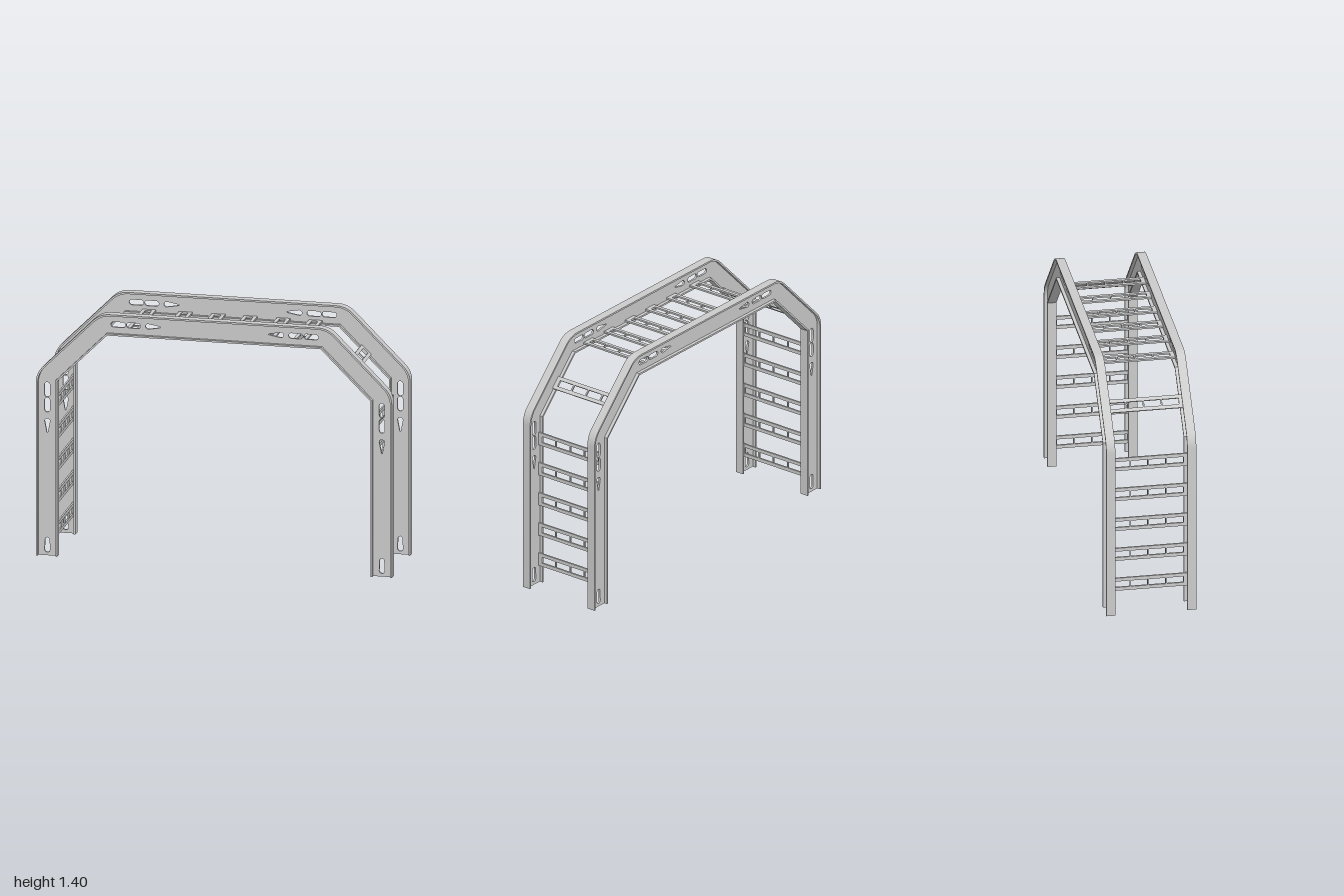
import * as THREE from 'three';
import { toCreasedNormals } from 'three/addons/utils/BufferGeometryUtils.js';

const material = new THREE.MeshStandardMaterial({ color: 0xcccccc });

// Arch outline: leg at x = X, 45 degree shoulder x + y = S, top at y = T
function archLine(X, S, T, round) {
  const a = new THREE.Vector2(X, S - X), b = new THREE.Vector2(S - T, T);
  const half = [new THREE.Vector2(X, 0)];
  if (round) {
    const d = new THREE.Vector2(-1, 1).normalize().multiplyScalar(round);
    const bends = [
      [new THREE.Vector2(a.x, a.y - round), a, a.clone().add(d)],
      [b.clone().sub(d), b, new THREE.Vector2(b.x - round, b.y)],
    ];
    for (const bend of bends) half.push(...new THREE.QuadraticBezierCurve(...bend).getPoints(8));
  } else half.push(a, b);
  const mirrored = half.map((p) => new THREE.Vector2(-p.x, p.y)).reverse();
  return [...half, ...mirrored];
}

const outerLine = (inset) => archLine(1 - inset, 2.04 - inset * Math.SQRT2, 1.4 - inset, 0.055);
const innerLine = (grow) => archLine(0.88 + grow, 1.88 + grow * Math.SQRT2, 1.28 + grow, 0);
const band = (outer, inner) => new THREE.Shape([...outer, ...inner.reverse()]);

function extrude(shape, depth) {
  const g = new THREE.ExtrudeGeometry(shape, { depth, bevelEnabled: false, curveSegments: 8 });
  g.translate(0, 0, -depth / 2);
  return toCreasedNormals(g, Math.PI / 6);
}

function mesh(name, geometry) {
  const m = new THREE.Mesh(geometry, material);
  m.name = name;
  return m;
}

// Hole of given length along u; the far end radius r2 makes it a slot or a teardrop
function hole(cx, cy, angle, length, r1, r2) {
  const pts = [], c = Math.cos(angle), s = Math.sin(angle);
  const add = (u, v) => pts.push(new THREE.Vector2(cx + u * c - v * s, cy + u * s + v * c));
  for (let i = 0; i <= 10; i++) {
    const t = Math.PI / 2 + (i / 10) * Math.PI;
    add(-length / 2 + r1 + r1 * Math.cos(t), r1 * Math.sin(t));
  }
  for (let i = 0; i <= 10; i++) {
    const t = -Math.PI / 2 + (i / 10) * Math.PI;
    add(length / 2 - r2 + r2 * Math.cos(t), r2 * Math.sin(t));
  }
  return new THREE.Path(pts);
}

// Web plate pierced by slots and teardrops on both sides
function webGeometry() {
  const web = band(outerLine(0.01), innerLine(0.01));
  for (const s of [-1, 1]) {
    const inward = s > 0 ? Math.PI : 0, down = -Math.PI / 2;
    web.holes.push(
      hole(s * 0.94, 0.945, down, 0.085, 0.015, 0.015),
      hole(s * 0.94, 0.858, down, 0.082, 0.015, 0.015),
      hole(s * 0.94, 0.74, down, 0.08, 0.015, 0.003),
      hole(s * 0.94, 0.06, down, 0.085, 0.013, 0.015),
      hole(s * 0.542, 1.34, inward, 0.082, 0.015, 0.015),
      hole(s * 0.456, 1.34, inward, 0.08, 0.015, 0.015),
      hole(s * 0.345, 1.34, inward, 0.085, 0.015, 0.003),
    );
  }
  return extrude(web, 0.012);
}

// Flat rung lying along z, its width along x, with four windows
function rungGeometry() {
  const w = 0.038, l = 0.222;
  const shape = new THREE.Shape([[-w, -l], [w, -l], [w, l], [-w, l]].map((p) => new THREE.Vector2(...p)));
  for (let i = 0; i < 4; i++) {
    const c = -0.15 + i * 0.1, h = 0.018, k = 0.046;
    shape.holes.push(new THREE.Path(
      [[-h, c - k], [-h, c + k], [h, c + k], [h, c - k]].map((p) => new THREE.Vector2(...p))));
  }
  const g = extrude(shape, 0.01);
  g.rotateX(Math.PI / 2);
  return g;
}

export function createModel() {
  const model = new THREE.Group();
  model.name = 'climbingArch';

  // Two I-section arches
  const web = webGeometry();
  const outerFlange = extrude(band(outerLine(0), outerLine(0.01)), 0.05);
  const innerFlange = extrude(band(innerLine(0.01), innerLine(0)), 0.05);
  for (const s of [1, -1]) {
    const arch = new THREE.Group();
    arch.name = s > 0 ? 'frontArch' : 'backArch';
    arch.position.z = s * 0.225;
    arch.add(mesh('web', web), mesh('outerFlange', outerFlange), mesh('innerFlange', innerFlange));
    model.add(arch);
  }

  // Rungs up the legs, on the shoulders and across the top
  const rung = rungGeometry();
  const addRung = (name, x, y, angle) => {
    const m = mesh(name, rung);
    m.position.set(x, y, 0);
    m.rotation.z = angle;
    model.add(m);
  };
  for (const s of [-1, 1]) {
    for (let i = 0; i < 5; i++) addRung('legRung', s * 0.897, 0.14 + i * 0.1825, s * -Math.PI / 2);
    addRung('shoulderRung', s * 0.748, 1.152, s * -Math.PI / 4);
  }
  for (const x of [-0.47, -0.265, -0.08, 0.1, 0.285, 0.465]) addRung('topRung', x, 1.3, 0);

  return model;
}
